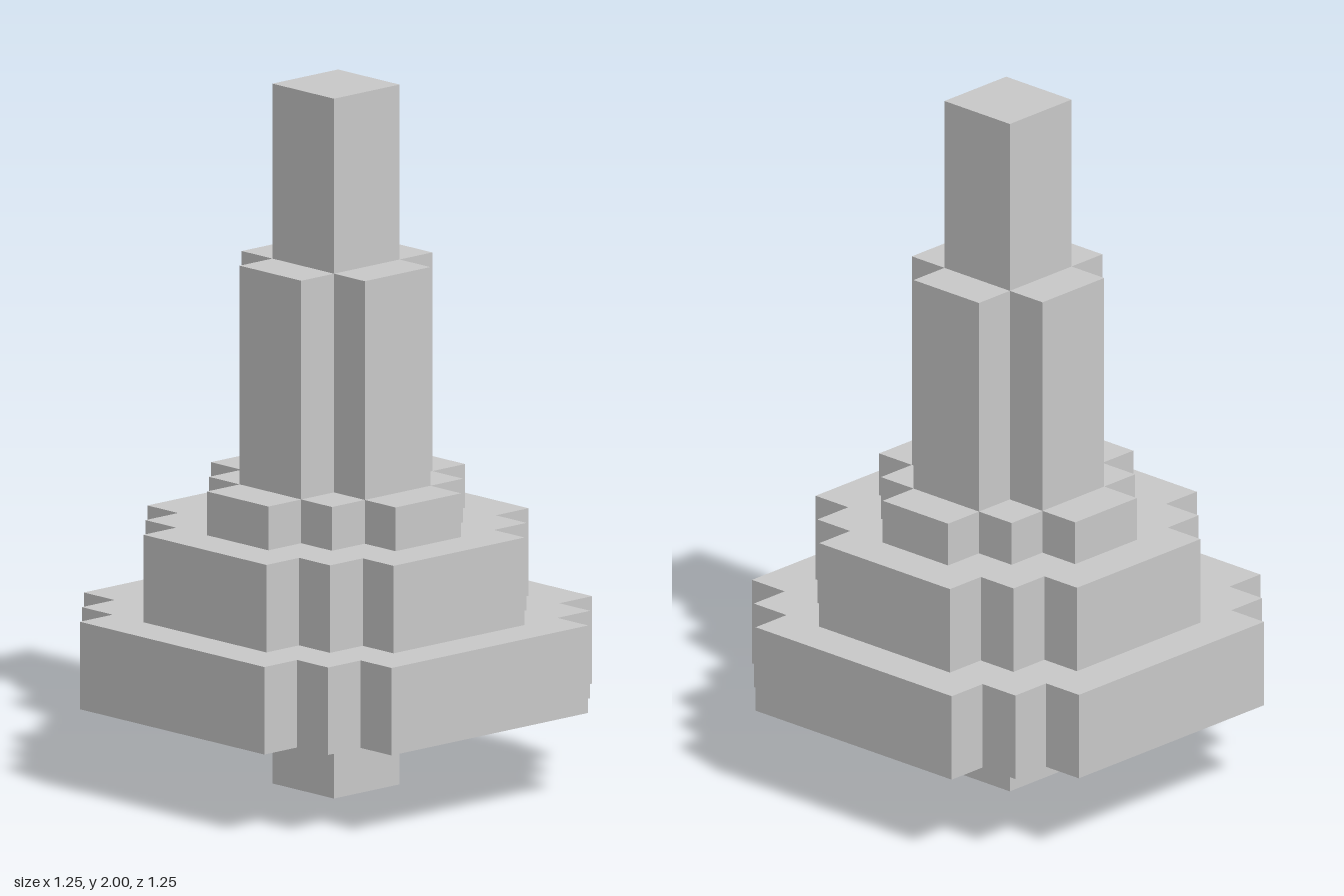
import * as THREE from 'three';

const UNIT = 0.125;

// Blocky disc outline: corners of one quadrant, turned four times.
function steppedShape(corners) {
  const quadrant = [];
  corners.forEach(([x, y], i) => {
    if (i > 0) quadrant.push([x, corners[i - 1][1]]); // inner corner of the step
    quadrant.push([x, y]);
  });
  const points = [];
  for (let turn = 0; turn < 4; turn++) {
    for (const [x, y] of quadrant) {
      const [px, py] = [[x, y], [-y, x], [-x, -y], [y, -x]][turn];
      points.push(new THREE.Vector2(px * UNIT, py * UNIT));
    }
  }
  return new THREE.Shape(points);
}

export function createModel() {
  const group = new THREE.Group();
  const material = new THREE.MeshStandardMaterial({ color: 0xcccccc, flatShading: true });

  // name, bottom, top, outer corners of the first quadrant (all in block units)
  const tiers = [
    ['bottomStem', 0, 2, [[1, 1]]],
    ['wideTier', 2, 4, [[5, 3], [4, 4], [3, 5]]],
    ['middleTier', 4, 6, [[4, 2], [3, 3], [2, 4]]],
    ['smallTier', 6, 7, [[3, 1], [2, 2], [1, 3]]],
    ['crossColumn', 7, 12, [[2, 1], [1, 2]]],
    ['spire', 12, 16, [[1, 1]]],
  ];

  for (const [name, bottom, top, corners] of tiers) {
    const geometry = new THREE.ExtrudeGeometry(steppedShape(corners), {
      depth: (top - bottom) * UNIT,
      bevelEnabled: false,
    });
    geometry.rotateX(-Math.PI / 2);
    const mesh = new THREE.Mesh(geometry, material);
    mesh.name = name;
    mesh.position.y = bottom * UNIT;
    group.add(mesh);
  }
  return group;
}
